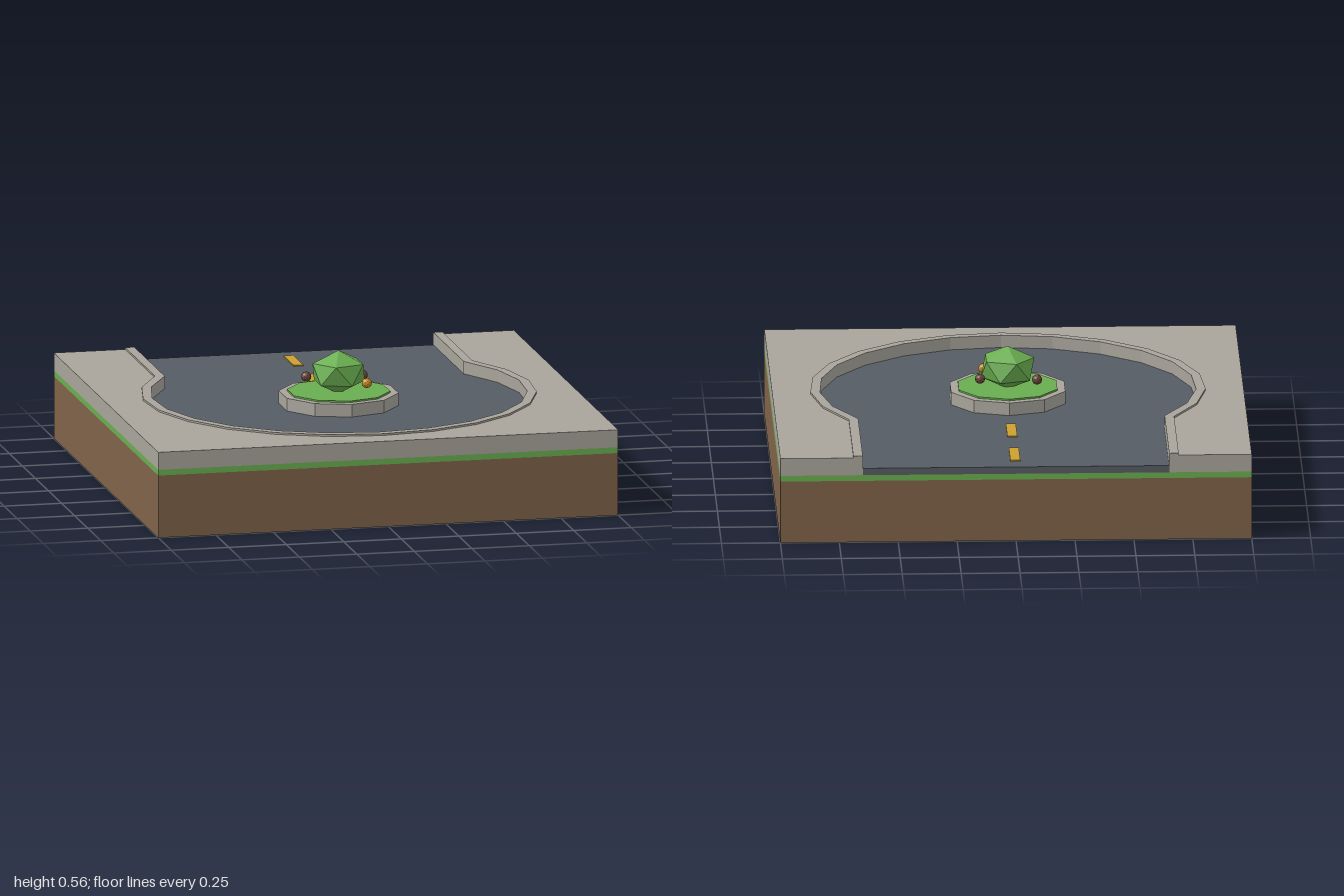
import * as THREE from 'three';

const mat = (name, color, flat = false) => {
  const m = new THREE.MeshStandardMaterial({ color, flatShading: flat });
  m.name = name;
  return m;
};

export function createModel() {
  const group = new THREE.Group();
  const soil = mat('soil', 0x7f6249);
  const grass = mat('grass', 0x69ad50);
  const stone = mat('pavement', 0xa8a49b);
  const asphalt = mat('asphalt', 0x565c63);
  const yellow = mat('road paint', 0xcba02f);
  const leaf = mat('leaves', 0x6aae50, true);
  const brown = mat('brown flower', 0x6b4638, true);
  const orange = mat('orange flower', 0xc58a22, true);

  const CZ = 0.05; // centre of the turning circle

  const add = (name, geo, material, x = 0, y = 0, z = 0) => {
    const mesh = new THREE.Mesh(geo, material);
    mesh.name = name;
    mesh.position.set(x, y, z);
    group.add(mesh);
    return mesh;
  };
  const box = (name, w, h, d, material, x, y, z) =>
    add(name, new THREE.BoxGeometry(w, h, d), material, x, y + h / 2, z);

  // Outline drawn as [x, z], raised from y0 to y1
  const slab = (name, points, y0, y1, material) => {
    const shape = new THREE.Shape(points.map(([x, z]) => new THREE.Vector2(x, -z)));
    const geo = new THREE.ExtrudeGeometry(shape, { depth: y1 - y0, bevelEnabled: false });
    geo.rotateX(-Math.PI / 2);
    return add(name, geo, material, 0, y0, 0);
  };

  // Keyhole outline: straight road running into a 16 segment arc
  const keyhole = (halfWidth, radius) => {
    const sweep = Math.PI / 2 + Math.acos(halfWidth / radius);
    const points = [[halfWidth, -1]];
    for (let i = 0; i <= 16; i++) {
      const a = sweep * (1 - i / 8);
      points.push([radius * Math.sin(a), CZ + radius * Math.cos(a)]);
    }
    points.push([-halfWidth, -1]);
    return points;
  };
  const inner = keyhole(0.65, 0.8);
  const outer = keyhole(0.69, 0.84);

  // Ground layers
  box('soilBase', 2, 0.27, 2, soil, 0, 0, 0);
  box('grassLayer', 2, 0.025, 2, grass, 0, 0.27, 0);

  // Road, curb and surrounding pavement
  slab('road', inner, 0.295, 0.325, asphalt);
  slab('curb', [...outer, ...[...inner].reverse()], 0.295, 0.379, stone);
  slab('pavement', [...outer, [-1, -1], [-1, 1], [1, 1], [1, -1]], 0.295, 0.371, stone);

  // Centre line dashes
  for (const z of [-0.815, -0.442]) box('laneDash', 0.042, 0.005, 0.193, yellow, 0, 0.325, z);

  // Ten-sided island
  const island = (name, r, y0, y1, material) => {
    const geo = new THREE.CylinderGeometry(r, r, y1 - y0, 10);
    add(name, geo.toNonIndexed(), material, 0, (y0 + y1) / 2, CZ).geometry.computeVertexNormals();
  };
  island('islandCurb', 0.255, 0.325, 0.38, stone);
  island('islandGrass', 0.22, 0.325, 0.387, grass);

  // Faceted bush standing on one vertex
  const bush = new THREE.IcosahedronGeometry(0.127, 0);
  bush.rotateZ(Math.atan(2 / (1 + Math.sqrt(5))));
  bush.scale(1, 0.74, 1);
  add('bush', bush, leaf, 0, 0.466, CZ);

  // Small flowers around the bush
  for (const [x, z, m] of [[-0.122, -0.033, brown], [0.119, -0.013, brown], [0.1, 0.148, orange]]) {
    add('flower', new THREE.IcosahedronGeometry(0.022, 1), m, x, 0.434, z);
  }
  return group;
}
